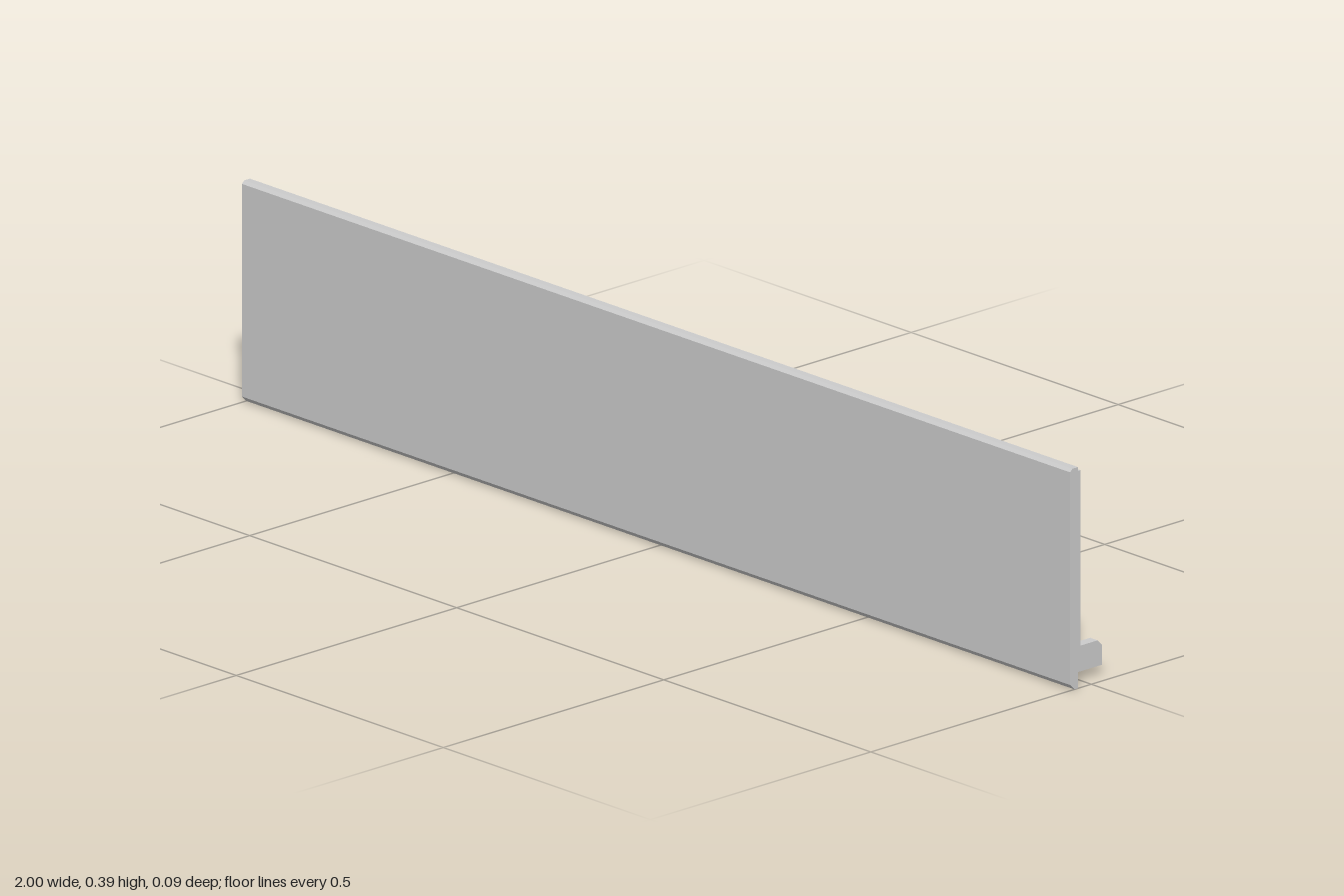
import * as THREE from 'three';

const material = new THREE.MeshStandardMaterial({ color: 0xcccccc, flatShading: true });

// Extrudes a side profile of [z, y] points along x, between x0 and x1
function profileAlongX(name, points, x0, x1) {
  const shape = new THREE.Shape(points.map(([z, y]) => new THREE.Vector2(-z, y)));
  const geometry = new THREE.ExtrudeGeometry(shape, { depth: x1 - x0, bevelEnabled: false });
  geometry.rotateY(Math.PI / 2).translate(x0, 0, 0);
  const mesh = new THREE.Mesh(geometry, material);
  mesh.name = name;
  return mesh;
}

export function createModel() {
  const model = new THREE.Group();
  model.name = 'panelWithBracket';

  // Front panel with chamfered front edges
  model.add(profileAlongX('frontPanel', [
    [0.03, 0], [0.038, 0], [0.048, 0.01], [0.048, 0.382], [0.043, 0.387], [0.03, 0.387],
  ], -1, 1));

  // Rear frame: a top rail joining two legs that turn back into feet
  const back = 0.002, front = 0.021, top = 0.369, bottom = 0.017;
  const outer = 0.976, width = 0.018, railBottom = top - 0.018;
  const inner = outer - width;
  const frame = new THREE.Group();
  frame.name = 'rearFrame';
  frame.add(profileAlongX('topRail', [
    [back, railBottom], [front, railBottom], [front, top], [back, top],
  ], -inner, inner));

  const leg = [
    [front, bottom], [front, top], [back, top], [back, 0.062],
    [-0.037, 0.062], [-0.047, 0.052], [-0.047, bottom],
  ];
  frame.add(profileAlongX('leftLeg', leg, inner, outer));
  frame.add(profileAlongX('rightLeg', leg, -outer, -inner));
  model.add(frame);

  return model;
}
